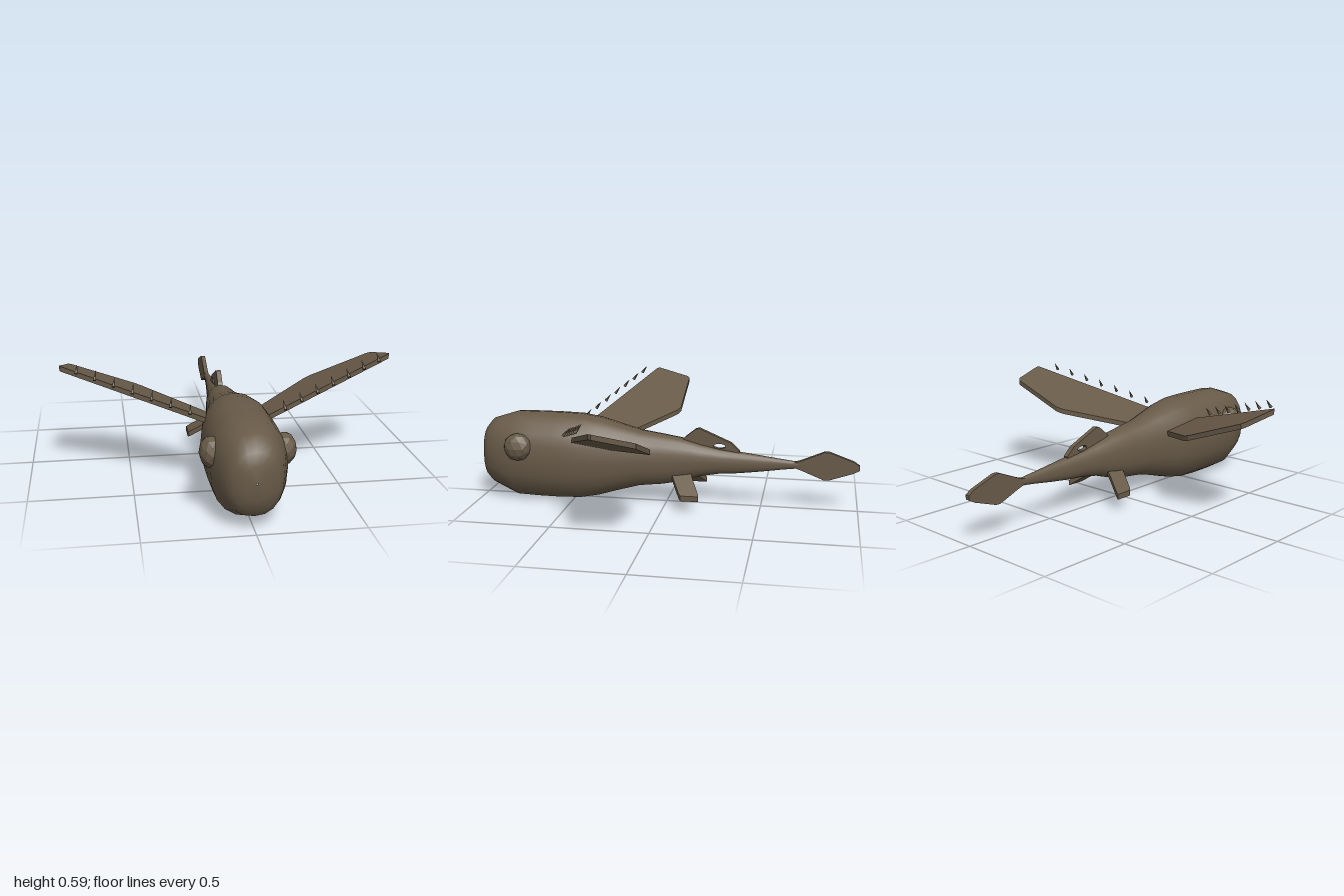
import * as THREE from 'three';

const skin = new THREE.MeshStandardMaterial({ color: 0x685a48 });
skin.name = 'brown skin';

function add(parent, name, geometry) {
  const mesh = new THREE.Mesh(geometry, skin);
  mesh.name = name;
  parent.add(mesh);
  return mesh;
}

function outline(points) {
  return new THREE.Shape(points.map(([a, b]) => new THREE.Vector2(a, b)));
}

// Smooth body lofted through rounded sections: [z, half width, bottom, top]
function bodyGeometry() {
  const sections = [
    [1, 0.004, 0.234, 0.242], [0.997, 0.05, 0.16, 0.315], [0.98, 0.1, 0.1, 0.375],
    [0.945, 0.13, 0.065, 0.418], [0.9, 0.148, 0.045, 0.433], [0.81, 0.175, 0.005, 0.462],
    [0.7, 0.18, 0.001, 0.463], [0.58, 0.18, 0, 0.463], [0.46, 0.176, 0.004, 0.46],
    [0.36, 0.157, 0.022, 0.445], [0.25, 0.131, 0.055, 0.415], [0.14, 0.109, 0.085, 0.385],
    [0.02, 0.092, 0.098, 0.368], [-0.08, 0.08, 0.117, 0.352], [-0.18, 0.063, 0.15, 0.325],
    [-0.28, 0.048, 0.168, 0.303], [-0.38, 0.038, 0.175, 0.29], [-0.5, 0.026, 0.19, 0.275],
    [-0.6, 0.018, 0.205, 0.262], [-0.7, 0.012, 0.218, 0.25], [-0.76, 0.003, 0.23, 0.24],
  ];
  const sides = 20, positions = [], index = [];
  const round = (v) => Math.sign(v) * Math.pow(Math.abs(v), 0.88);
  sections.forEach(([z, w, low, high], i) => {
    for (let j = 0; j < sides; j++) {
      const t = (j / sides) * Math.PI * 2;
      positions.push(w * round(Math.cos(t)), (low + high) / 2 + ((high - low) / 2) * round(Math.sin(t)), z);
      if (i === sections.length - 1) continue;
      const a = i * sides + j, b = i * sides + ((j + 1) % sides);
      index.push(a, a + sides, b, b, a + sides, b + sides);
    }
  });
  const g = new THREE.BufferGeometry();
  g.setAttribute('position', new THREE.Float32BufferAttribute(positions, 3));
  g.setIndex(index);
  g.computeVertexNormals();
  return g;
}

// Upright fin drawn as [z, y] and centred on x = 0
function uprightFin(shape, thickness) {
  const g = new THREE.ExtrudeGeometry(shape, { depth: thickness, bevelEnabled: false, curveSegments: 10 });
  g.translate(0, 0, -thickness / 2);
  g.rotateY(-Math.PI / 2);
  return g;
}

// Sloping plate drawn as [x, z] whose top follows the height rule
function slopingPlate(points, side, thickness, height) {
  const shape = outline(points.map(([x, z]) => [x * side, -z]));
  const g = new THREE.ExtrudeGeometry(shape, { depth: thickness, bevelEnabled: false });
  g.rotateX(-Math.PI / 2);
  const p = g.attributes.position;
  for (let i = 0; i < p.count; i++) {
    p.setY(i, p.getY(i) - thickness + height(p.getX(i) * side, p.getZ(i)));
  }
  g.computeVertexNormals();
  return g;
}

// Small cone leaning from base to tip
function spike(parent, base, tip) {
  const dir = tip.clone().sub(base);
  const g = new THREE.ConeGeometry(0.009, dir.length(), 6);
  const mesh = add(parent, 'wingSpike', g);
  mesh.position.copy(base).addScaledVector(dir, 0.5);
  mesh.quaternion.setFromUnitVectors(new THREE.Vector3(0, 1, 0), dir.normalize());
}

export function createModel() {
  const model = new THREE.Group();
  model.name = 'flyingFish';
  add(model, 'body', bodyGeometry());

  // Diamond tail fin
  add(model, 'tailFin', uprightFin(outline([
    [-0.66, 0.222], [-0.7, 0.21], [-0.82, 0.162], [-0.845, 0.162], [-0.97, 0.205], [-1, 0.222],
    [-1, 0.245], [-0.97, 0.265], [-0.845, 0.31], [-0.82, 0.31], [-0.7, 0.258], [-0.66, 0.246],
  ]), 0.024));

  // Back fin with an oval hole
  const back = outline([
    [-0.06, 0.31], [-0.1, 0.36], [-0.155, 0.405], [-0.175, 0.408], [-0.34, 0.337],
    [-0.385, 0.295], [-0.38, 0.26], [-0.1, 0.27],
  ]);
  const hole = new THREE.Path();
  hole.absellipse(-0.28, 0.318, 0.032, 0.013, 0, Math.PI * 2, true);
  back.holes.push(hole);
  add(model, 'backFin', uprightFin(back, 0.026));

  const wingHeight = (x, z) => 0.243 + 0.36 * x + 0.14 * z;
  for (const side of [1, -1]) {
    const label = side > 0 ? 'left' : 'right';

    // Swept wing
    add(model, label + 'Wing', slopingPlate([
      [0.08, 0.3], [0.08, 0.5], [0.17, 0.47], [0.82, 0.205], [0.83, 0.19], [0.79, 0.015],
      [0.775, 0], [0.465, 0], [0.43, 0.015], [0.13, 0.255],
    ], side, 0.026, wingHeight));

    // Row of spikes ahead of the leading edge
    const spikes = new THREE.Group();
    spikes.name = label + 'WingSpikes';
    model.add(spikes);
    for (let i = 0; i < 7; i++) {
      const x = 0.226 + i * 0.0868;
      const z = 0.47 - (x - 0.17) * 0.409;
      const y = wingHeight(x, z);
      spike(spikes, new THREE.Vector3(side * (x + 0.003), y + 0.006, z + 0.05),
        new THREE.Vector3(side * (x - 0.005), y + 0.048, z + 0.018));
    }

    // Small belly fin
    add(model, label + 'BellyFin', slopingPlate([
      [0.03, -0.02], [0.09, -0.05], [0.165, -0.09], [0.176, -0.1], [0.176, -0.193],
      [0.165, -0.19], [0.085, -0.15], [0.03, -0.13],
    ], side, 0.028, (x) => 0.09 - 0.72 * (x - 0.175)));

    // Faceted eye
    const eyeGeometry = new THREE.IcosahedronGeometry(0.075, 1);
    eyeGeometry.scale(0.75, 1, 1);
    eyeGeometry.computeVertexNormals();
    add(model, label + 'Eye', eyeGeometry).position.set(side * 0.165, 0.305, 0.765);
  }
  return model;
}
